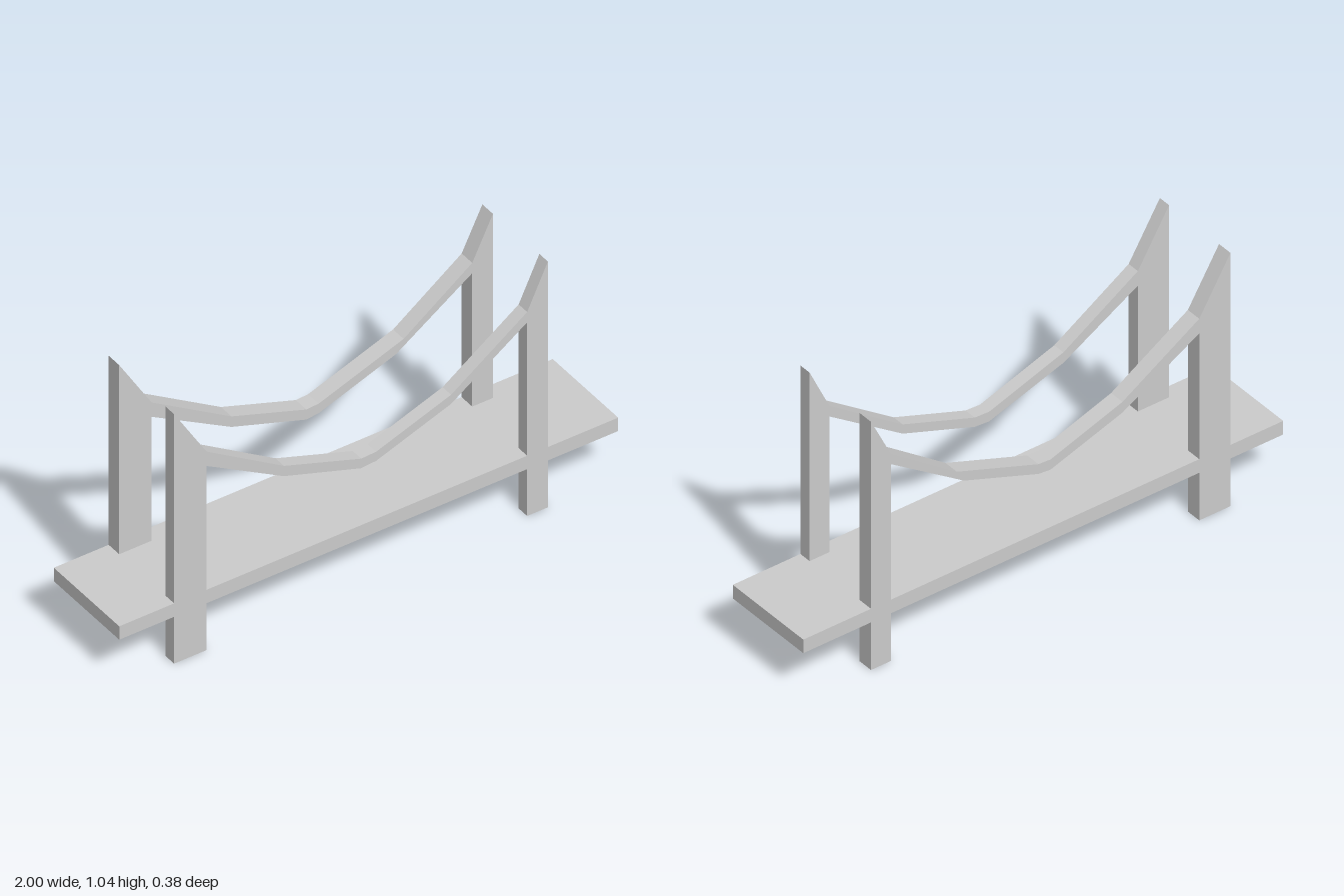
import * as THREE from 'three';

const material = new THREE.MeshStandardMaterial({ color: 0xcccccc, flatShading: true });

// Side frame: two towers with slanted tops joined by a sagging, faceted cable
function sideFrame(name, z0, z1, cableTop, cableBottom, rightPeak) {
  const outline = [
    [-0.78, 0], [-0.65, 0], [-0.65, 0.77],
    ...cableBottom,
    [0.635, 0.81], [0.635, 0], [0.718, 0],
    [0.718, rightPeak], [0.635, 0.853],
    ...[...cableTop].reverse(),
    [-0.65, 0.83], [-0.78, 1.043],
  ];
  const shape = new THREE.Shape(outline.map(([x, y]) => new THREE.Vector2(x, y)));
  const geometry = new THREE.ExtrudeGeometry(shape, { depth: z1 - z0, bevelEnabled: false });
  geometry.translate(0, 0, z0);
  const mesh = new THREE.Mesh(geometry, material);
  mesh.name = name;
  return mesh;
}

export function createModel() {
  const group = new THREE.Group();
  group.name = 'bridge';

  // Road deck, flush with the outer faces of both frames
  const deck = new THREE.Mesh(new THREE.BoxGeometry(2, 0.056, 0.384), material);
  deck.name = 'deck';
  deck.position.set(0, 0.224, 0);
  group.add(deck);

  // Front and back frames, with slightly different cable bends
  group.add(sideFrame('frontFrame', 0.142, 0.192,
    [[-0.34, 0.635], [-0.03, 0.53], [0.03, 0.533], [0.33, 0.64]],
    [[-0.34, 0.592], [-0.03, 0.49], [0.03, 0.495], [0.33, 0.602]], 1.028));
  group.add(sideFrame('backFrame', -0.192, -0.13,
    [[-0.33, 0.632], [-0.03, 0.53], [0.02, 0.533], [0.36, 0.655]],
    [[-0.33, 0.588], [-0.03, 0.488], [0.02, 0.493], [0.33, 0.605]], 1.022));

  return group;
}
